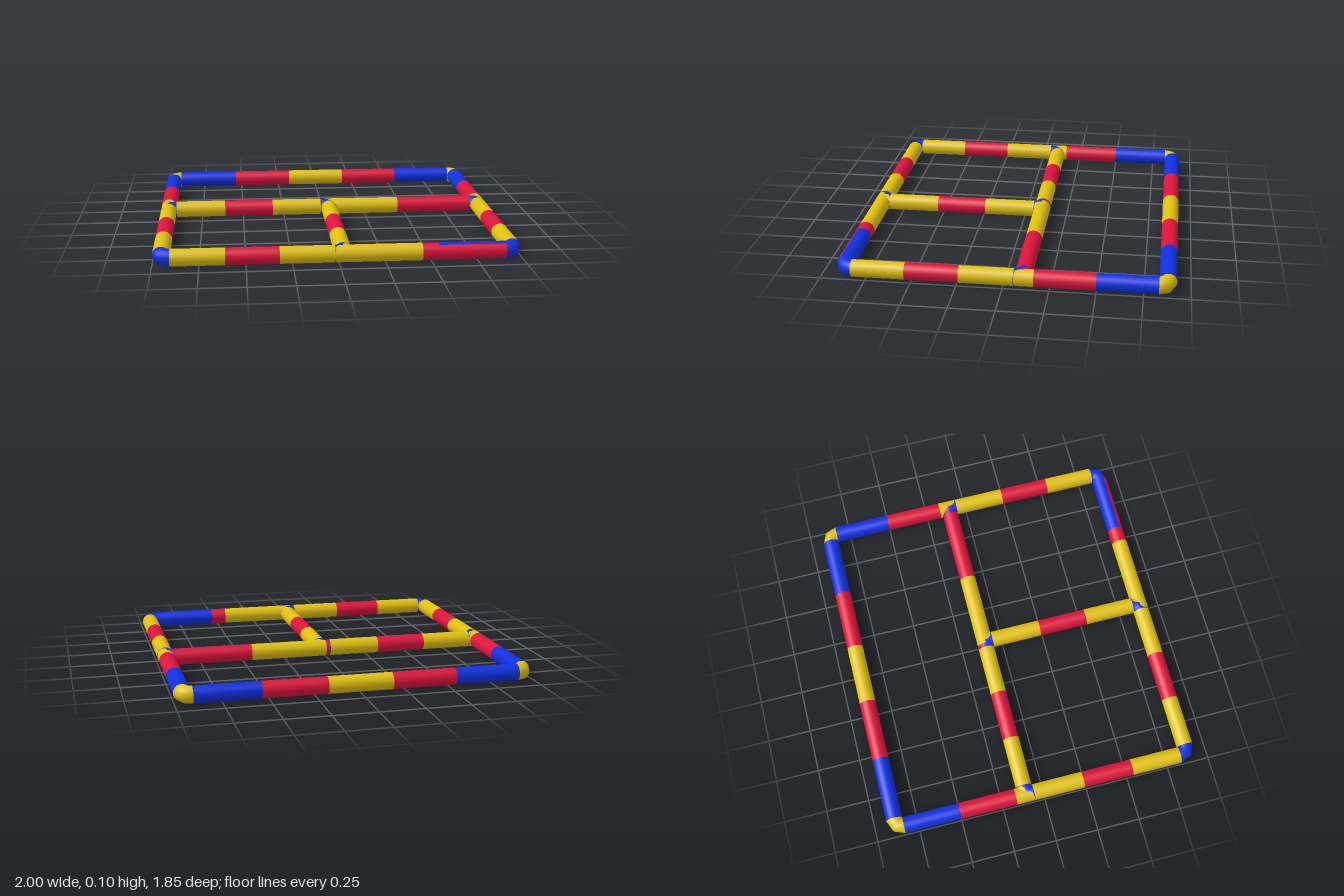
import * as THREE from 'three';

const R = 0.0475;             // tube radius
const X = 0.905, Z = 0.83;    // ends of the straight runs
const CX = X + R, CZ = Z + R; // centre lines of the outer frame
const MID_Z = -0.105, POST_X = 0.025;

const mats = {};
for (const [key, color] of [['b', 0x1030e0], ['r', 0xdc143c], ['y', 0xdfc010]]) {
  mats[key] = new THREE.MeshStandardMaterial({ color, side: THREE.DoubleSide });
}

// Striped tube along x or z: stops has one more entry than there are colours
function stripedBar(name, axis, offset, stops, colors) {
  const bar = new THREE.Group();
  bar.name = name;
  [...colors].forEach((c, i) => {
    const a = stops[i], b = stops[i + 1];
    const geo = new THREE.CylinderGeometry(R, R, b - a, 24, 1, true);
    if (axis === 'x') geo.rotateZ(Math.PI / 2);
    else geo.rotateX(Math.PI / 2);
    const band = new THREE.Mesh(geo, mats[c]);
    band.name = name + 'Band' + (i + 1);
    const m = (a + b) / 2;
    band.position.set(axis === 'x' ? m : offset, R, axis === 'x' ? offset : m);
    bar.add(band);
  });
  return bar;
}

// Tight two-step elbow round a pivot; turn 0 bulges to +x -z, each turn adds 90 degrees
function elbow(name, x, z, turn, color, swell = 1) {
  const geo = new THREE.TorusGeometry(R, R * swell, 24, 2, Math.PI / 2);
  geo.rotateX(-Math.PI / 2);
  const mesh = new THREE.Mesh(geo, mats[color]);
  mesh.name = name;
  mesh.rotation.y = turn * Math.PI / 2;
  mesh.position.set(x, R, z);
  return mesh;
}

export function createModel() {
  const model = new THREE.Group();
  model.name = 'tubeFrame';

  // Outer frame
  model.add(stripedBar('backBar', 'x', -CZ, [-X, -0.54, -0.18, 0.18, 0.54, X], 'bryrb'));
  model.add(stripedBar('frontBar', 'x', CZ, [-X, -0.61, -0.32, 0.45, 0.54, X], 'yryrb'));
  for (const s of [-1, 1]) {
    model.add(stripedBar(s < 0 ? 'rightBar' : 'leftBar', 'z', s * CX,
      [-Z, -0.5, -0.166, 0.24, 0.535, Z], 'bryry'));
  }

  // Front bar: red outer face over the blue end band
  const face = new THREE.CylinderGeometry(R * 1.01, R * 1.01, X - 0.54, 10, 1, true, -Math.PI / 3, Math.PI * 2 / 3);
  face.rotateZ(Math.PI / 2);
  const facing = new THREE.Mesh(face, mats.r);
  facing.name = 'frontBarFacing';
  facing.position.set((X + 0.54) / 2, R, CZ);
  model.add(facing);

  // Corners
  model.add(elbow('backLeftCorner', X, -Z, 0, 'y'));
  model.add(elbow('backRightCorner', -X, -Z, 1, 'y'));
  model.add(elbow('frontRightCorner', -X, Z, 2, 'b'));
  model.add(elbow('frontLeftCorner', X, Z, 3, 'b'));

  // Inner dividers
  model.add(stripedBar('crossBar', 'x', MID_Z,
    [-CX, -0.61, -0.32, -0.025, 0, 0.45, CX], 'yryryr'));
  model.add(stripedBar('centreBar', 'z', POST_X, [MID_Z, 0.24, 0.53, CZ], 'yry'));

  // Blue elbows showing through where the dividers meet the frame
  const jz = MID_Z + R, jx = POST_X - R;
  model.add(elbow('crossBarRightJoint', -X, jz, 1, 'b', 1.02));
  model.add(elbow('crossBarLeftJoint', X, jz, 0, 'b', 1.02));
  model.add(elbow('centreBarBackJoint', jx, jz, 0, 'b', 1.02));
  model.add(elbow('centreBarFrontJoint', jx, Z, 3, 'b', 1.02));

  return model;
}
